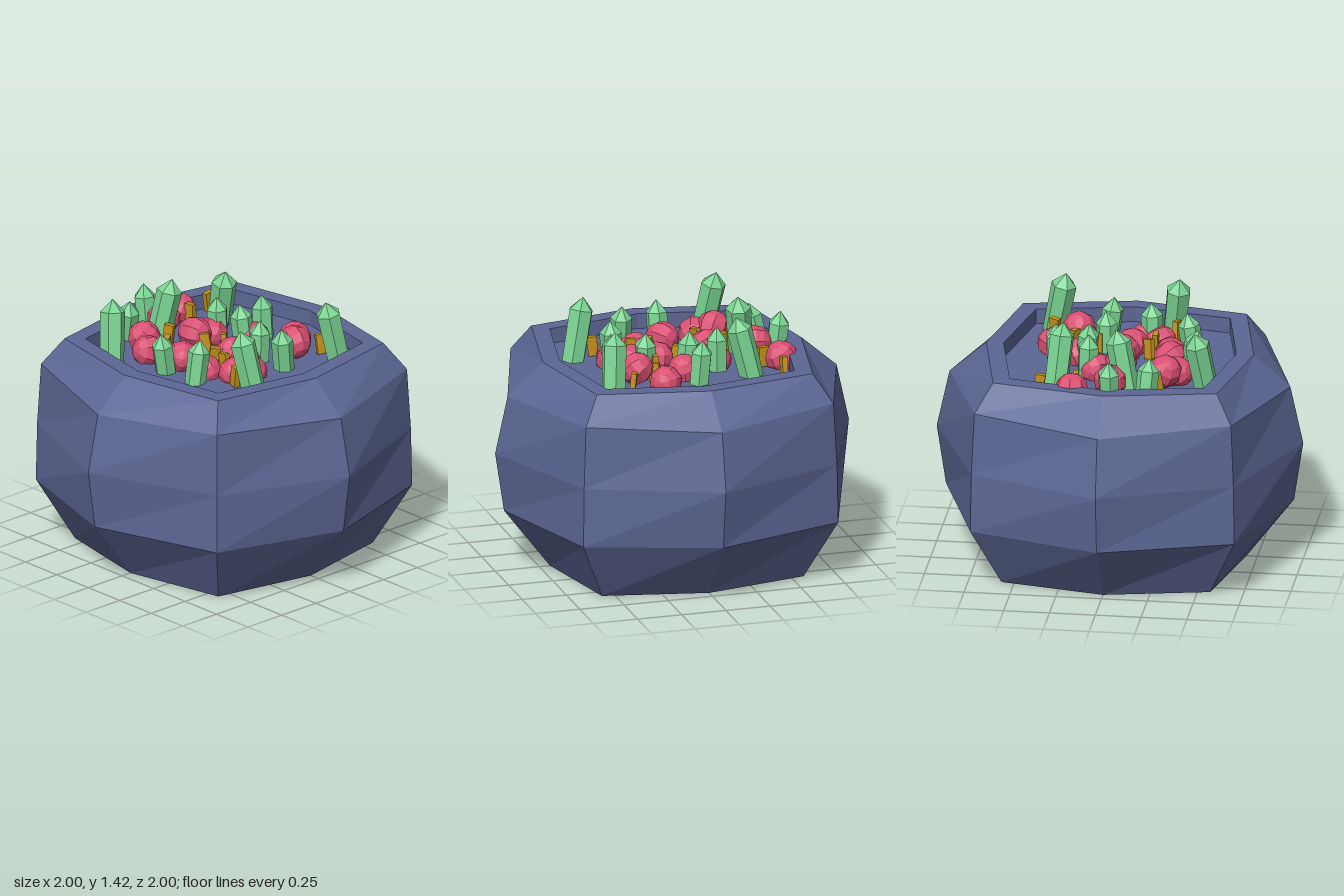
import * as THREE from 'three';

const flat = (name, color) => {
  const m = new THREE.MeshStandardMaterial({ color, flatShading: true });
  m.name = name;
  return m;
};

// Eight-sided pot: each ring is [axis radius, axis height, corner offset, corner height]
function potGeometry() {
  const rings = [
    [0, 0, 0, 0],
    [0.69, 0, 0.57, 0],
    [0.95, 0.34, 0.72, 0.34],
    [1.0, 0.67, 0.715, 0.67],
    [0.93, 0.99, 0.7, 1.015],
    [0.73, 1.165, 0.61, 1.165],
    [0.635, 1.165, 0.53, 1.165],
    [0.635, 1.08, 0.53, 1.08],
    [0, 1.08, 0, 1.08],
  ];
  const positions = [], index = [];
  rings.forEach(([ra, ya, c, yc], j) => {
    for (let i = 0; i < 8; i++) {
      const a = (i * Math.PI) / 4;
      const r = i % 2 ? c * Math.SQRT2 : ra;
      positions.push(Math.sin(a) * r, i % 2 ? yc : ya, Math.cos(a) * r);
      if (j === rings.length - 1) continue;
      const p = j * 8 + i, q = j * 8 + ((i + 1) % 8);
      if (j > 0) index.push(p, q, q + 8);
      if (j < rings.length - 2) index.push(p, q + 8, p + 8);
      if (j === 0) index.push(p, q + 8, p + 8);
    }
  });
  const g = new THREE.BufferGeometry();
  g.setAttribute('position', new THREE.Float32BufferAttribute(positions, 3));
  g.setIndex(index);
  g.computeVertexNormals();
  return g;
}

// Six-sided crystal with a pointed end, standing on its base
function crystalGeometry(r, h) {
  const profile = [[0, 0], [r * 0.95, 0], [r, h - 0.07], [0, h]];
  return new THREE.LatheGeometry(profile.map(([x, y]) => new THREE.Vector2(x, y)), 6);
}

export function createModel() {
  const model = new THREE.Group();
  const stone = flat('slate blue', 0x5d6795);
  const green = flat('crystal green', 0x7ad492);
  const red = flat('gem red', 0xd94f72);
  const gold = flat('gold', 0xc4921c);

  const add = (parent, name, geometry, material) => {
    const mesh = new THREE.Mesh(geometry, material);
    mesh.name = name;
    parent.add(mesh);
    return mesh;
  };
  const group = (name) => {
    const g = new THREE.Group();
    g.name = name;
    model.add(g);
    return g;
  };

  add(model, 'pot', potGeometry(), stone);

  // Crystals: base x, base z, tip x, tip z, tip height
  const crystals = group('crystals');
  const up = new THREE.Vector3(0, 1, 0);
  [
    [-0.52, -0.33, -0.46, -0.39, 1.42], [-0.02, -0.59, -0.02, -0.62, 1.32],
    [-0.21, -0.55, -0.23, -0.5, 1.31], [-0.1, -0.42, -0.03, -0.38, 1.42],
    [0.3, -0.36, 0.27, -0.28, 1.41], [0.15, -0.21, 0.14, -0.21, 1.32],
    [-0.39, -0.04, -0.43, -0.04, 1.31], [-0.38, 0.18, -0.34, 0.18, 1.32],
    [0.18, -0.03, 0.16, -0.05, 1.32], [0.34, -0.05, 0.34, -0.07, 1.32],
    [0.09, 0.18, 0.1, 0.18, 1.31], [-0.14, 0.3, -0.13, 0.31, 1.32],
    [0.11, 0.36, 0.08, 0.37, 1.32], [-0.23, 0.49, -0.27, 0.42, 1.42],
    [0.42, 0.46, 0.35, 0.43, 1.42],
  ].forEach(([bx, bz, tx, tz, ty], i) => {
    const base = new THREE.Vector3(bx, 1.07, bz);
    const axis = new THREE.Vector3(tx, ty, tz).sub(base);
    const g = crystalGeometry(ty > 1.4 ? 0.07 : 0.06, axis.length());
    g.rotateY(i * 1.3);
    const mesh = add(crystals, 'crystal', g, green);
    mesh.position.copy(base);
    mesh.quaternion.setFromUnitVectors(up, axis.normalize());
  });

  // Round faceted gems: x, height, z
  const gems = group('gems');
  const gemGeometry = new THREE.SphereGeometry(0.092, 8, 6);
  [
    [0.19, 1.13, -0.56], [-0.01, 1.16, -0.47], [-0.29, 1.17, -0.32],
    [-0.34, 1.13, -0.23], [-0.03, 1.16, -0.2], [0.1, 1.12, -0.21],
    [-0.28, 1.14, -0.03], [-0.26, 1.1, 0.13], [-0.01, 1.12, 0.08],
    [0.22, 1.12, 0], [-0.04, 1.11, 0.21], [-0.18, 1.11, 0.28],
    [0.38, 1.12, 0.15], [0.26, 1.17, 0.28], [-0.09, 1.1, 0.31],
  ].forEach(([x, y, z], i) => {
    const mesh = add(gems, 'gem', gemGeometry, red);
    mesh.position.set(x, y, z);
    mesh.rotation.set(0.5 + i * 0.7, i * 1.1, i * 0.4);
  });

  // Small upright gold bars: x, z
  const bars = group('goldBars');
  const barGeometry = new THREE.BoxGeometry(0.055, 0.11, 0.03);
  [
    [0.37, -0.52], [0.18, -0.46], [-0.26, -0.42], [-0.11, -0.32],
    [-0.23, -0.21], [-0.05, -0.09], [0.02, -0.02], [-0.15, 0.08],
    [0.27, 0.18], [0.4, 0.34], [-0.26, 0.37], [0.14, 0.14], [-0.17, 0.19],
  ].forEach(([x, z], i) => {
    const mesh = add(bars, 'goldBar', barGeometry, gold);
    mesh.position.set(x, 1.14, z);
    mesh.rotation.set(0.15 * Math.sin(i * 2), i * 1.7, 0.15 * Math.cos(i * 3));
  });

  return model;
}
